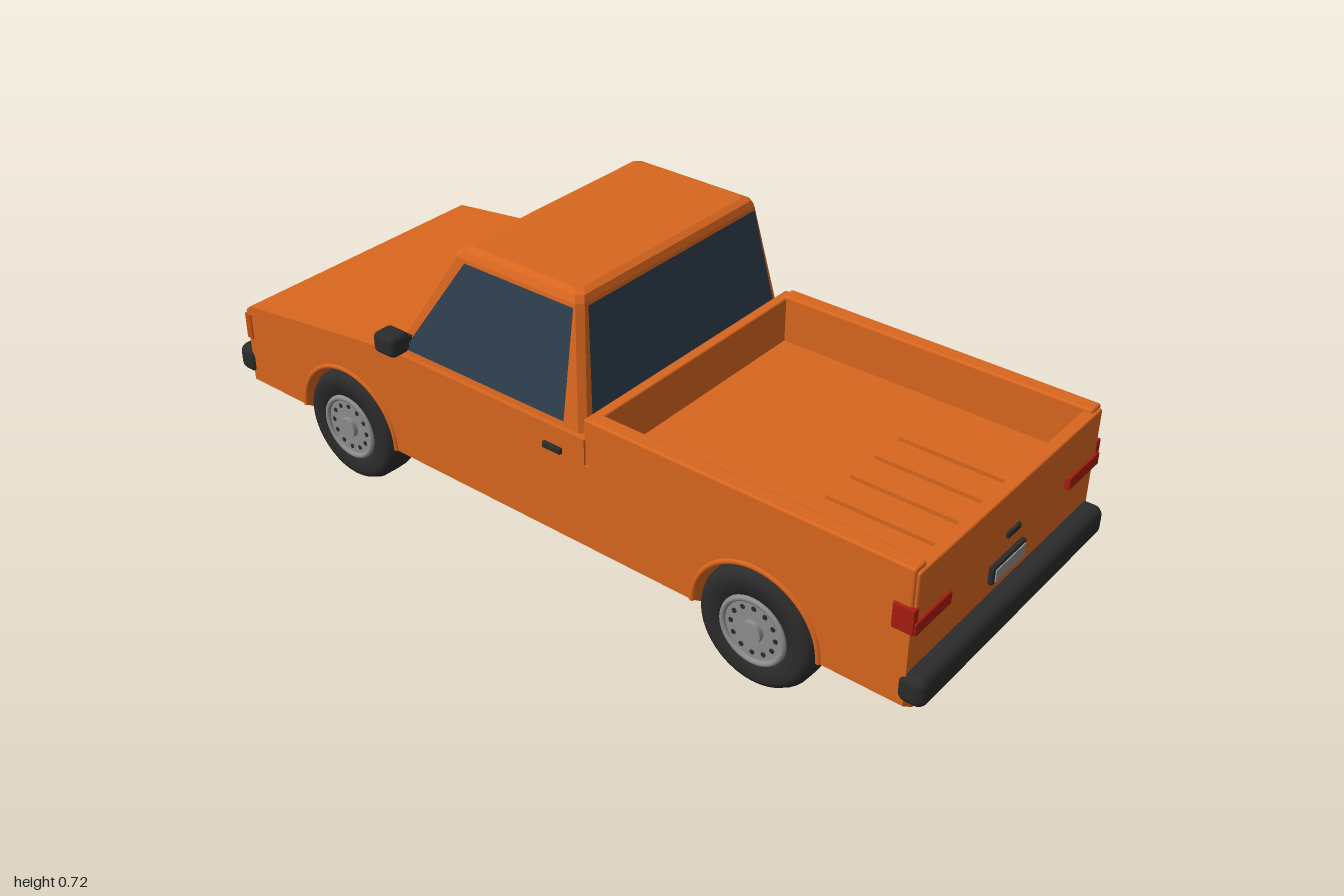
import * as THREE from 'three';
import { RoundedBoxGeometry } from 'three/addons/geometries/RoundedBoxGeometry.js';

const mat = (name, color, side = THREE.FrontSide) => {
  const m = new THREE.MeshStandardMaterial({ color, side });
  m.name = name;
  return m;
};

export function createModel() {
  const paint = mat('orange paint', 0xd9661f);
  const glass = mat('blue glass', 0x2f3f50, THREE.DoubleSide);
  const black = mat('black trim', 0x2b2b2b);
  const under = mat('dark underside', 0x1c1c1c);
  const silver = mat('silver', 0x8e8e8e);
  const red = mat('red lens', 0xa81c10);
  const amber = mat('amber lens', 0xc9500f);

  const truck = new THREE.Group();
  truck.name = 'pickupTruck';

  const add = (name, geo, material, parent = truck) => {
    const m = new THREE.Mesh(geo, material);
    m.name = name;
    parent.add(m);
    return m;
  };
  // box given by its limits, rounded when r > 0
  const box = (name, material, x0, x1, y0, y1, z0, z1, r = 0, parent = truck) => {
    const s = [x1 - x0, y1 - y0, z1 - z0];
    const g = r ? new RoundedBoxGeometry(...s, 3, r) : new THREE.BoxGeometry(...s);
    g.translate((x0 + x1) / 2, (y0 + y1) / 2, (z0 + z1) / 2);
    return add(name, g, material, parent);
  };
  // box repeated on both sides
  const pair = (name, material, x0, x1, ...rest) => {
    box(name + 'Left', material, x0, x1, ...rest);
    box(name + 'Right', material, -x1, -x0, ...rest);
  };
  // side outline in (z, y), extruded across x
  const across = (shape, x0, x1) => new THREE.ExtrudeGeometry(shape,
    { depth: x1 - x0, bevelEnabled: false, curveSegments: 24 }).rotateY(-Math.PI / 2).translate(x1, 0, 0);

  const WHEEL_Z = [0.6, -0.6], AXLE = 0.145, ARCH = 0.157;
  const REAR = 0.955, NOSE = -0.95, FLOOR = 0.355;

  // body: plain core and side panels with wheel arches
  const outline = (bottom, arches) => {
    const s = new THREE.Shape();
    s.moveTo(REAR, bottom);
    if (arches) for (const z of WHEEL_Z) {
      s.lineTo(z + ARCH, bottom);
      s.absarc(z, AXLE, ARCH, 0, Math.PI, false);
    }
    [[NOSE, bottom], [NOSE, 0.345], [-0.935, 0.358], [-0.44, 0.42], [0.15, 0.42], [0.15, FLOOR], [REAR, FLOOR]]
      .forEach(p => s.lineTo(...p));
    return s;
  };
  add('bodyCore', across(outline(0.115, false), -0.25, 0.25), paint);
  add('sidePanelLeft', across(outline(AXLE, true), 0.25, 0.37), paint);
  add('sidePanelRight', across(outline(AXLE, true), -0.37, -0.25), paint);

  // tapered sills between the arches, and arch lips
  for (const side of [1, -1]) {
    const section = new THREE.Shape([[0.25, 0.115], [0.33, 0.115], [0.37, AXLE], [0.25, AXLE]]
      .map(([x, y]) => new THREE.Vector2(side * x, y)));
    for (const [z0, z1] of [[0.6 + ARCH, REAR], [-0.6 + ARCH, 0.6 - ARCH], [NOSE, -0.6 - ARCH]]) {
      add('sill', new THREE.ExtrudeGeometry(section, { depth: z1 - z0, bevelEnabled: false }).translate(0, 0, z0), paint);
    }
    for (const z of WHEEL_Z) {
      add('archLip', new THREE.TorusGeometry(ARCH + 0.002, 0.007, 8, 32, Math.PI).rotateY(Math.PI / 2), paint)
        .position.set(side * 0.368, AXLE, z);
    }
  }
  box('underside', under, -0.26, 0.26, 0.085, 0.118, -0.84, 0.84);

  // cargo bed
  pair('bedRail', paint, 0.33, 0.37, FLOOR - 0.01, 0.473, 0.16, REAR, 0.006);
  box('bedFrontWall', paint, -0.365, 0.365, FLOOR - 0.01, 0.468, 0.145, 0.172, 0.005);
  box('tailgate', paint, -0.365, 0.365, 0.35, 0.465, 0.932, 0.962, 0.005);
  for (const x of [-0.14, -0.047, 0.047, 0.14]) {
    box('bedRib', paint, x - 0.006, x + 0.006, FLOOR - 0.004, FLOOR + 0.01, 0.61, 0.91);
  }

  // cab: lofted chamfered rectangles [y, half width, front z, rear z]
  const levels = [[0.41, 0.36, -0.446, 0.14], [0.695, 0.31, -0.272, 0.095],
    [0.71, 0.302, -0.258, 0.088], [0.718, 0.286, -0.238, 0.072]];
  const c = 0.014;
  const rings = levels.map(([y, w, f, r]) => [
    [w, r - c], [w, f + c], [w - c, f], [-w + c, f], [-w, f + c], [-w, r - c], [-w + c, r], [w - c, r],
  ].map(([x, z]) => [x, y, z]));
  const pos = [];
  for (let k = 0; k < rings.length - 1; k++) for (let i = 0; i < 8; i++) {
    const j = (i + 1) % 8, a = rings[k], b = rings[k + 1];
    pos.push(...a[i], ...a[j], ...b[j], ...a[i], ...b[j], ...b[i]);
  }
  const roof = rings[rings.length - 1];
  for (let i = 1; i < 7; i++) pos.push(...roof[0], ...roof[i], ...roof[i + 1]);
  const polygon = (p) => {
    const g = new THREE.BufferGeometry();
    g.setAttribute('position', new THREE.Float32BufferAttribute(p, 3));
    g.computeVertexNormals();
    return g;
  };
  add('cab', polygon(pos), paint);

  // windows lie just outside the cab's sloped faces
  const at = (y, k) => THREE.MathUtils.mapLinear(y, 0.41, 0.695, levels[0][k], levels[1][k]);
  const quad = (name, a, b, d, e) => add(name, polygon([a, b, d, a, d, e].flat()), glass);
  const o = 0.004;
  for (const s of [1, -1]) {
    const p = (y, z) => [s * (at(y, 1) + o), y, z];
    const q = [p(0.435, 0.085), p(0.435, -0.395), p(0.688, -0.232), p(0.688, 0.08)];
    quad(s > 0 ? 'sideWindowLeft' : 'sideWindowRight', ...(s > 0 ? q : q.reverse()));
  }
  const rw = (x, y) => [x, y, at(y, 3) + o];
  quad('rearWindow', rw(-0.326, 0.45), rw(0.326, 0.45), rw(0.29, 0.69), rw(-0.29, 0.69));
  const ws = (x, y) => [x, y, at(y, 2) - o];
  quad('windshield', ws(0.33, 0.435), ws(-0.33, 0.435), ws(-0.29, 0.68), ws(0.29, 0.68));
  for (const x of [-0.15, 0.13]) box('wiper', black, x - 0.07, x + 0.07, 0.418, 0.427, -0.455, -0.445);

  // bumpers
  box('rearBumper', black, -0.376, 0.376, 0.153, 0.226, 0.935, 1, 0.022);
  box('frontBumper', black, -0.376, 0.376, 0.16, 0.232, -1, -0.935, 0.022);

  // tail details
  pair('tailLight', red, 0.24, 0.372, 0.323, 0.354, 0.94, 0.968, 0.003);
  pair('tailLightCorner', red, 0.36, 0.376, 0.325, 0.385, 0.915, 0.964, 0.003);
  box('plateFrame', black, -0.068, 0.068, 0.256, 0.3, 0.95, 0.966, 0.004);
  box('plate', silver, -0.06, 0.06, 0.263, 0.293, 0.96, 0.969);
  box('tailgateHandle', black, -0.026, 0.026, 0.351, 0.365, 0.955, 0.969, 0.003);

  // nose details
  pair('headlightFrame', black, 0.172, 0.312, 0.257, 0.34, -0.959, -0.94, 0.004);
  pair('headlight', silver, 0.18, 0.304, 0.265, 0.332, -0.965, -0.95, 0.004);
  pair('cornerMarker', amber, 0.334, 0.373, 0.265, 0.335, -0.957, -0.935, 0.003);
  box('grille', under, -0.152, 0.152, 0.257, 0.336, -0.957, -0.94);
  for (let i = 0; i < 5; i++) {
    const y = 0.262 + i * 0.0155;
    box('grilleSlat', black, -0.152, 0.152, y, y + 0.007, -0.963, -0.95);
  }

  // doors: handles and mirrors
  pair('doorHandle', black, 0.365, 0.378, 0.358, 0.374, 0.035, 0.088, 0.004);
  pair('mirrorArm', black, 0.335, 0.39, 0.457, 0.472, -0.395, -0.378);
  pair('mirror', black, 0.374, 0.431, 0.449, 0.501, -0.422, -0.355, 0.014);

  // wheels: tyre revolved about its axle, with rim, ring, hub and slots
  const tyreProfile = [[0.085, -0.05], [0.122, -0.052], [0.136, -0.045], [0.144, -0.03], [0.145, 0],
    [0.144, 0.03], [0.136, 0.045], [0.122, 0.052], [0.085, 0.05], [0.08, 0.03]].map(p => new THREE.Vector2(...p));
  const disc = (r, x0, x1, n = 32) => new THREE.CylinderGeometry(r, r, x1 - x0, n)
    .rotateZ(-Math.PI / 2).translate((x0 + x1) / 2, 0, 0);
  for (const side of [1, -1]) for (const z of WHEEL_Z) {
    const wheel = new THREE.Group();
    wheel.name = (z < 0 ? 'front' : 'rear') + 'Wheel' + (side > 0 ? 'Left' : 'Right');
    add('tyre', new THREE.LatheGeometry(tyreProfile, 40).rotateZ(-Math.PI / 2), black, wheel);
    add('rim', disc(0.083, -0.046, 0.048), silver, wheel);
    add('rimRing', new THREE.TorusGeometry(0.077, 0.007, 8, 32).rotateY(Math.PI / 2), silver, wheel).position.x = 0.049;
    add('hub', disc(0.026, 0.045, 0.06, 12), silver, wheel);
    for (let i = 0; i < 12; i++) {
      const a = i * Math.PI / 6;
      add('rimSlot', disc(0.006, 0.045, 0.0495, 8), black, wheel)
        .position.set(0, 0.056 * Math.cos(a), 0.056 * Math.sin(a));
    }
    wheel.position.set(side * 0.322, AXLE, z);
    if (side < 0) wheel.rotation.y = Math.PI;
    truck.add(wheel);
  }
  return truck;
}
